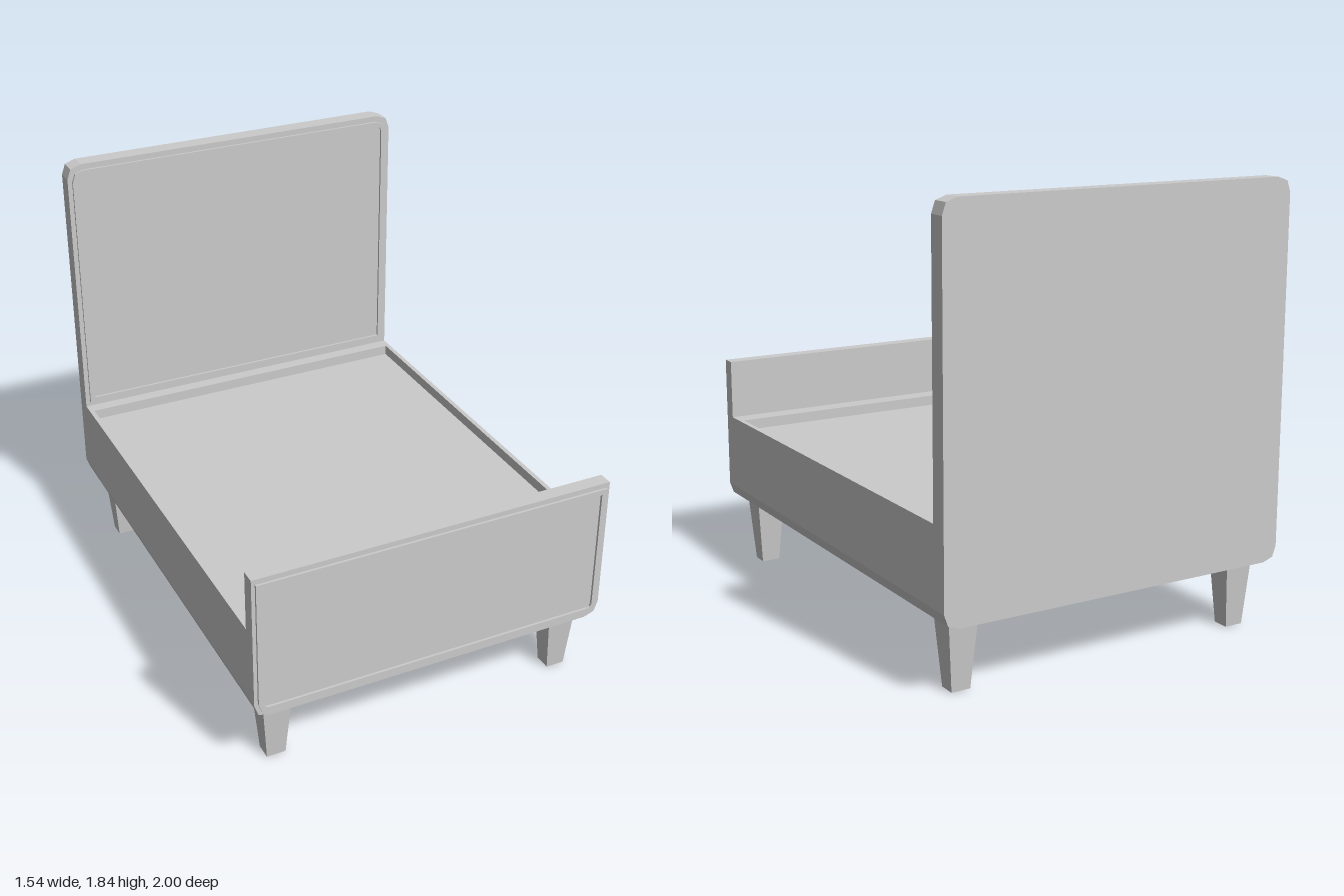
import * as THREE from 'three';

const mat = new THREE.MeshStandardMaterial({ color: 0xcccccc, flatShading: true });

// Trace a rectangle whose bottom/top corners are cut by two-step bevels of size rb / rt
function trace(path, x, y0, y1, rb, rt) {
  const k = 0.26; // how far the bevel's middle point sits from the true corner
  const corner = (cx, cy, r, sx, sy, sideFirst) => {
    if (!r) return [[cx, cy]];
    const p = [[cx, cy - sy * r], [cx - sx * r * k, cy - sy * r * k], [cx - sx * r, cy]];
    return sideFirst ? p : p.reverse();
  };
  const pts = [
    ...corner(-x, y0, rb, -1, -1, true),
    ...corner(x, y0, rb, 1, -1, false),
    ...corner(x, y1, rt, 1, 1, true),
    ...corner(-x, y1, rt, -1, 1, false),
  ];
  path.setFromPoints(pts.map(([a, b]) => new THREE.Vector2(a, b)));
  return path;
}

function add(parent, name, geometry) {
  const mesh = new THREE.Mesh(geometry, mat);
  mesh.name = name;
  parent.add(mesh);
  return mesh;
}

// Extrude an outline in the xy plane from z0 to z1
function slab(shape, z0, z1) {
  return new THREE.ExtrudeGeometry(shape, { depth: z1 - z0, bevelEnabled: false })
    .translate(0, 0, z0);
}

// Square leg that tapers evenly towards the floor
function legGeometry() {
  const h = 0.3;
  const g = new THREE.BoxGeometry(0.127, h, 0.115);
  const p = g.attributes.position;
  for (let i = 0; i < p.count; i++) {
    if (p.getY(i) < 0) {
      p.setX(i, p.getX(i) * 0.63);
      p.setZ(i, p.getZ(i) * 0.61);
    }
  }
  g.translate(0, h / 2, 0);
  g.computeVertexNormals();
  return g;
}

export function createModel() {
  const bed = new THREE.Group();
  bed.name = 'bedFrame';
  const W = 0.77, bottom = 0.287, R = 0.062;
  const headZ = -0.925, footZ = 0.93;

  // Headboard and footboard
  add(bed, 'headboard', slab(trace(new THREE.Shape(), W, bottom, 1.835, R, R), -1, headZ));
  add(bed, 'footboard', slab(trace(new THREE.Shape(), W, bottom, 0.925, R, 0), footZ, 0.99));

  // Raised mouldings around the board panels
  const headTrim = trace(new THREE.Shape(), 0.75, 0.69, 1.81, 0, 0.05);
  headTrim.holes.push(trace(new THREE.Path(), 0.727, 0.713, 1.788, 0, 0.025));
  add(bed, 'headboardMoulding', slab(headTrim, headZ, -0.915));

  const footTrim = trace(new THREE.Shape(), 0.755, 0.307, 0.903, 0.05, 0);
  footTrim.holes.push(trace(new THREE.Path(), 0.732, 0.334, 0.88, 0.02, 0));
  add(bed, 'footboardMoulding', slab(footTrim, 0.99, 1));

  // Solid base with bevelled lower edges
  add(bed, 'base', slab(trace(new THREE.Shape(), W, bottom, 0.625, R, 0), headZ, footZ));

  // Rim that leaves the sunken mattress area
  const rim = trace(new THREE.Shape(), W, -footZ, -headZ, 0, 0);
  rim.holes.push(trace(new THREE.Path(), 0.75, -0.848, 0.87, 0, 0));
  const rimMesh = add(bed, 'rim', slab(rim, 0, 0.045));
  rimMesh.rotation.x = -Math.PI / 2;
  rimMesh.position.y = 0.625;

  // Legs
  const leg = legGeometry();
  for (const sx of [-1, 1]) {
    for (const sz of [-1, 1]) {
      const name = (sz > 0 ? 'front' : 'back') + (sx > 0 ? 'Left' : 'Right') + 'Leg';
      add(bed, name, leg).position.set(sx * 0.646, 0, sz * 0.868);
    }
  }
  return bed;
}
